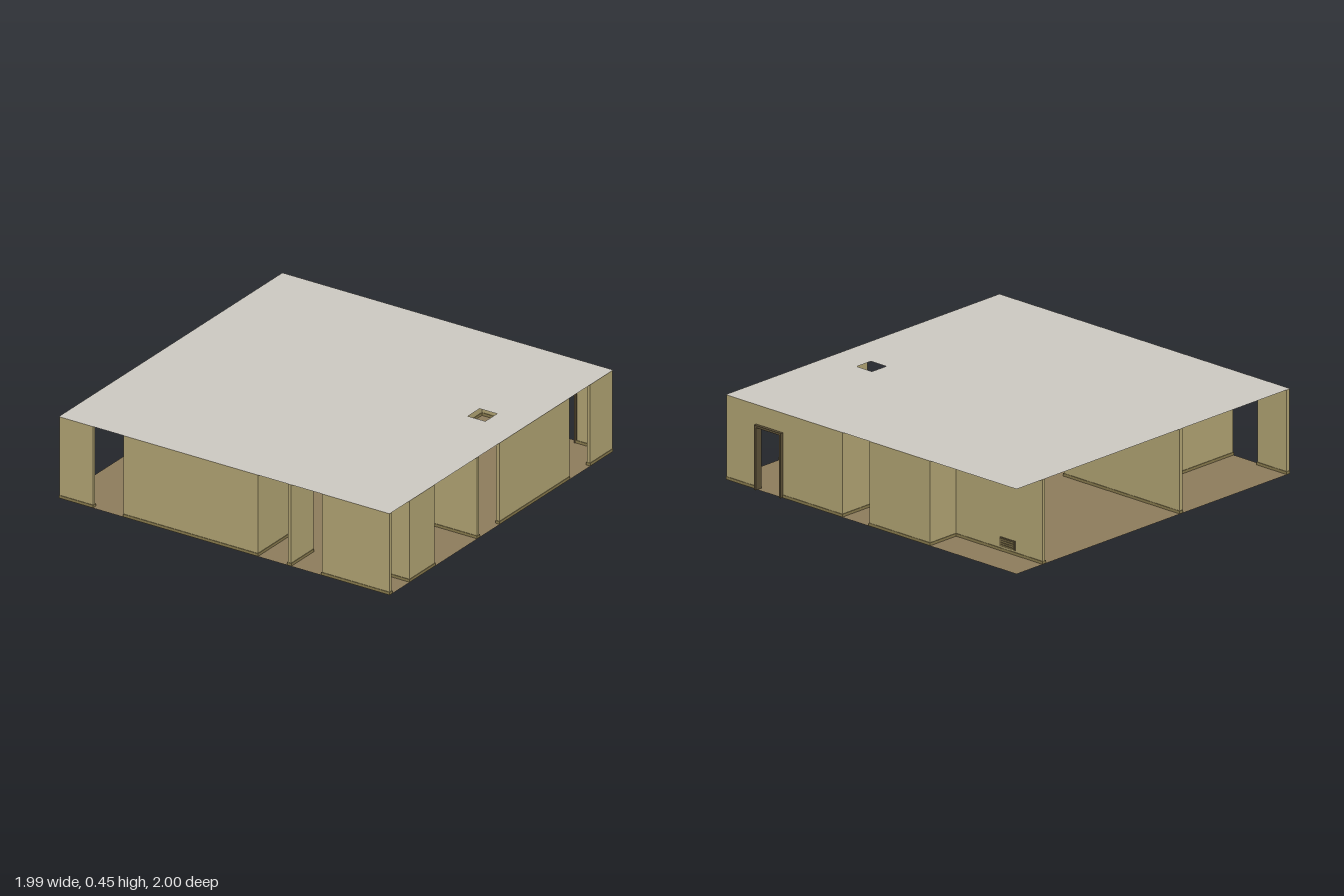
import * as THREE from 'three';

export function createModel() {
  const root = new THREE.Group();
  root.name = 'walledFloorPlan';
  const mat = (name, color, side = THREE.FrontSide) => {
    const m = new THREE.MeshStandardMaterial({ color, side });
    m.name = name;
    return m;
  };
  const wallMat = mat('mustard wall', 0xb6a876);
  const ceilingMat = mat('pale ceiling', 0xcfcbc4, THREE.DoubleSide);
  const floorMat = mat('brown carpet', 0x8f7d5d, THREE.DoubleSide);
  const baseMat = mat('baseboard', 0x8a7c4f);
  const frameMat = mat('dark trim', 0x5e5238);

  const H = 0.448, T = 0.02;
  const box = (name, m, x0, x1, y0, y1, z0, z1) => {
    const mesh = new THREE.Mesh(new THREE.BoxGeometry(x1 - x0, y1 - y0, z1 - z0), m);
    mesh.position.set((x0 + x1) / 2, (y0 + y1) / 2, (z0 + z1) / 2);
    mesh.name = name;
    root.add(mesh);
  };
  // A wall with its slightly wider baseboard
  const wall = (x0, x1, z0, z1) => {
    box('wall', wallMat, x0, x1, 0.001, H, z0, z1);
    const e = 0.003;
    box('baseboard', baseMat, Math.max(x0 - e, -0.993), Math.min(x1 + e, 0.993),
      0.001, 0.016, Math.max(z0 - e, -0.986), Math.min(z1 + e, 1));
  };

  // Walls running left to right: z centre, then x start and end
  [
    [0.987, -0.99, -0.79], [0.987, -0.605, 0.2], [0.987, 0.585, 0.99],
    [0.81, 0.79, 0.99],
    [0.21, -0.99, -0.2], [0.21, 0.4, 0.99],
    [-0.785, -0.99, -0.39],
    [-0.973, -0.4, 0.015], [-0.973, 0.2, 0.605], [-0.973, 0.79, 0.99],
  ].forEach(([z, a, b]) => wall(a, b, z - T / 2, z + T / 2));

  // Walls running front to back: x centre, then z start and end
  [
    [0.98, 0.595, 0.82], [0.98, -0.6, 0.02], [0.98, -0.983, -0.785],
    [0.19, 0.6, 0.997], [0.39, 0.8, 0.997], [-0.595, 0.6, 0.997],
    [0.41, 0.2, 0.415],
    [0.21, -0.983, -0.6], [-0.39, -0.983, -0.775],
  ].forEach(([x, a, b]) => wall(x - T / 2, x + T / 2, a, b));

  // Back doorway: wall above it and a projecting frame
  box('doorLintelWall', wallMat, 0.605, 0.79, 0.34, H, -0.983, -0.963);
  for (const x of [0.605, 0.775]) box('doorJamb', frameMat, x, x + 0.012, 0.001, 0.345, -1, -0.958);
  box('doorHead', frameMat, 0.605, 0.787, 0.333, 0.345, -1, -0.958);

  // Low wall vent: back plate with raised slats
  box('ventPlate', frameMat, -0.805, -0.7, 0.025, 0.075, -0.799, -0.795);
  for (let i = 0; i < 4; i++) {
    const y = 0.03 + i * 0.011;
    box('ventSlat', baseMat, -0.798, -0.707, y, y + 0.005, -0.802, -0.799);
  }
  // Small wall fixture beside the front passage
  box('wallFixture', frameMat, 0.2, 0.208, 0.385, 0.415, 0.815, 0.827);

  // Flat floor, and ceiling with a square hatch
  const slab = (name, m, y, hatch) => {
    const s = new THREE.Shape();
    s.moveTo(-0.993, -1).lineTo(0.993, -1).lineTo(0.993, 0.986).lineTo(-0.993, 0.986).closePath();
    if (hatch) {
      const h = new THREE.Path();
      h.moveTo(0.69, 0.143).lineTo(0.69, 0.247).lineTo(0.795, 0.247).lineTo(0.795, 0.143).closePath();
      s.holes.push(h);
    }
    const g = new THREE.ShapeGeometry(s);
    g.rotateX(-Math.PI / 2);
    const mesh = new THREE.Mesh(g, m);
    mesh.position.y = y;
    mesh.name = name;
    root.add(mesh);
  };
  slab('floor', floorMat, 0, false);
  slab('ceiling', ceilingMat, 0.45, true);
  return root;
}
